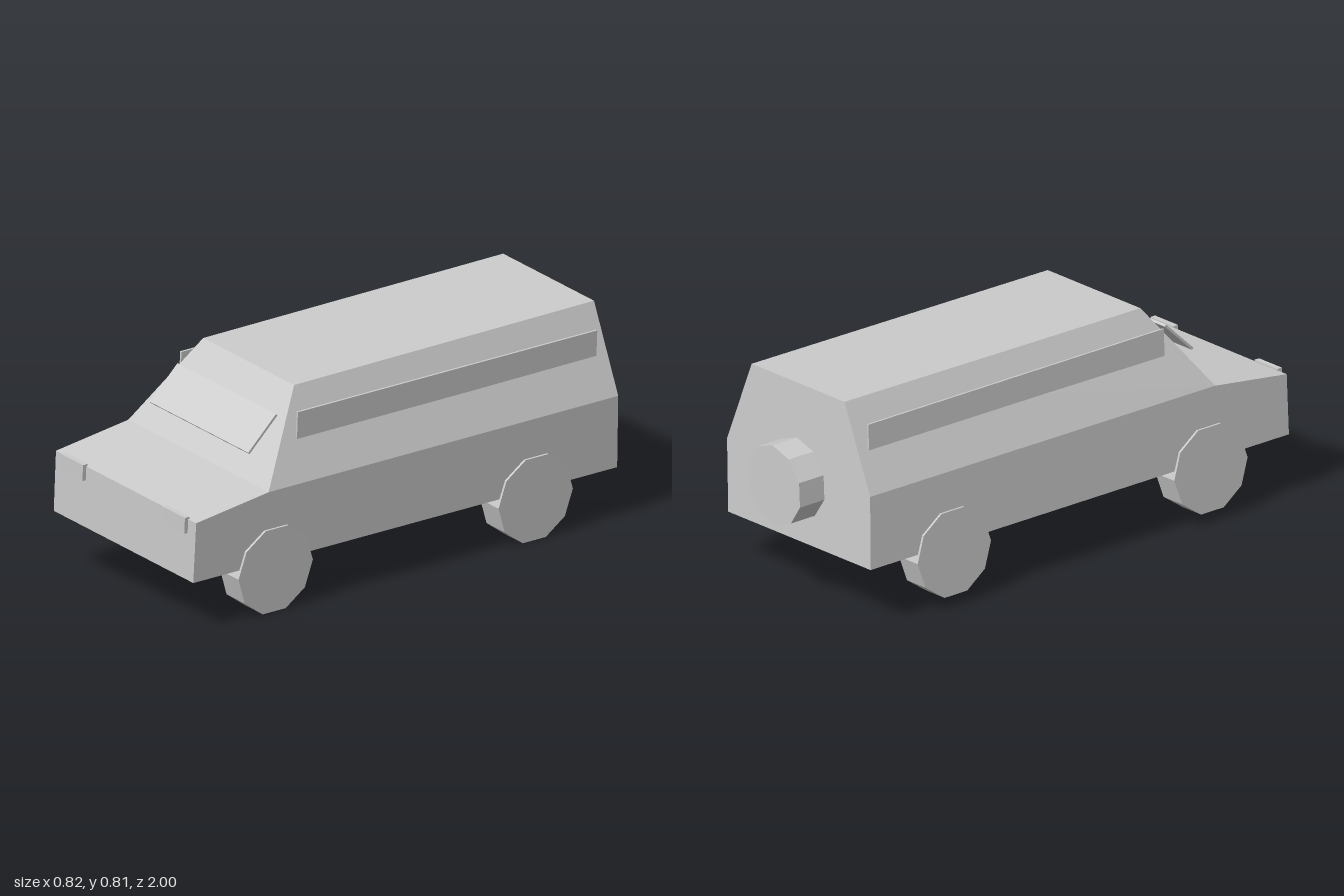
import * as THREE from 'three';

export function createModel() {
  const model = new THREE.Group();
  model.name = 'van';
  const grey = new THREE.MeshStandardMaterial({ color: 0xcccccc });
  grey.name = 'light grey';
  grey.flatShading = true;

  // The whole van leans slightly towards its left side
  const van = new THREE.Group();
  van.name = 'leaningVan';
  van.position.set(0.0025, 0.208, 0);
  van.rotation.z = THREE.MathUtils.degToRad(-3);
  model.add(van);

  function add(name, geometry, x, y, z) {
    const mesh = new THREE.Mesh(geometry, grey);
    mesh.name = name;
    mesh.position.set(x, y, z);
    van.add(mesh);
    return mesh;
  }

  add('body', bodyGeometry(), 0, 0, 0);

  // Floating windscreen panel
  const windscreen = add('windscreen', new THREE.BoxGeometry(0.555, 0.168, 0.009), 0, 0.434, 0.605);
  windscreen.rotation.x = -Math.PI / 4;

  // Mirrored parts
  const wheel = new THREE.CylinderGeometry(0.165, 0.165, 0.103, 10).rotateZ(Math.PI / 2);
  const sideWindow = new THREE.BoxGeometry(0.008, 0.12, 1.33);
  const headlight = new THREE.BoxGeometry(0.126, 0.06, 0.02);
  for (const [side, s] of [['left', 1], ['right', -1]]) {
    add(side + 'FrontWheel', wheel, s * 0.351, -0.03, 0.627);
    add(side + 'RearWheel', wheel, s * 0.351, -0.03, -0.528);
    add(side + 'SideWindow', sideWindow, s * 0.328, 0.45, -0.17);
    add(side + 'Headlight', headlight, s * 0.287, 0.204, 0.99);
  }

  // Spare wheel on the tail
  const spare = new THREE.CylinderGeometry(0.148, 0.148, 0.11, 10).rotateX(Math.PI / 2);
  add('spareWheel', spare, 0, 0.237, -0.945);

  return model;
}

// Faceted shell: one outline of left-hand corners, mirrored across x
function bodyGeometry() {
  const outline = [
    [0.393, 0, 0.987],       // 0 nose bottom
    [0.395, 0.226, 0.985],   // 1 nose top
    [0.395, 0.269, 0.665],   // 2 windscreen base
    [0.256, 0.577, 0.455],   // 3 roof front
    [0.256, 0.586, -0.877],  // 4 roof rear
    [0.395, 0.272, -0.888],  // 5 waist rear
    [0.393, 0, -0.896],      // 6 tail bottom
  ];
  const left = outline.map(p => new THREE.Vector3(...p));
  const right = outline.map(([x, y, z]) => new THREE.Vector3(-x, y, z));
  const points = [];
  const face = corners => {
    for (let i = 1; i < corners.length - 1; i++) points.push(corners[0], corners[i], corners[i + 1]);
  };

  // Panels running across the van: front, bonnet, windscreen, roof, tail, floor
  left.forEach((p, i) => {
    const j = (i + 1) % left.length;
    face([p, left[j], right[j], right[i]]);
  });
  // Lower and upper side panels
  for (const side of [[2, 1, 0, 6, 5], [5, 4, 3, 2]]) {
    face(side.map(i => left[i]));
    face(side.map(i => right[i]).reverse());
  }

  const geometry = new THREE.BufferGeometry().setFromPoints(points);
  geometry.computeVertexNormals();
  return geometry;
}
